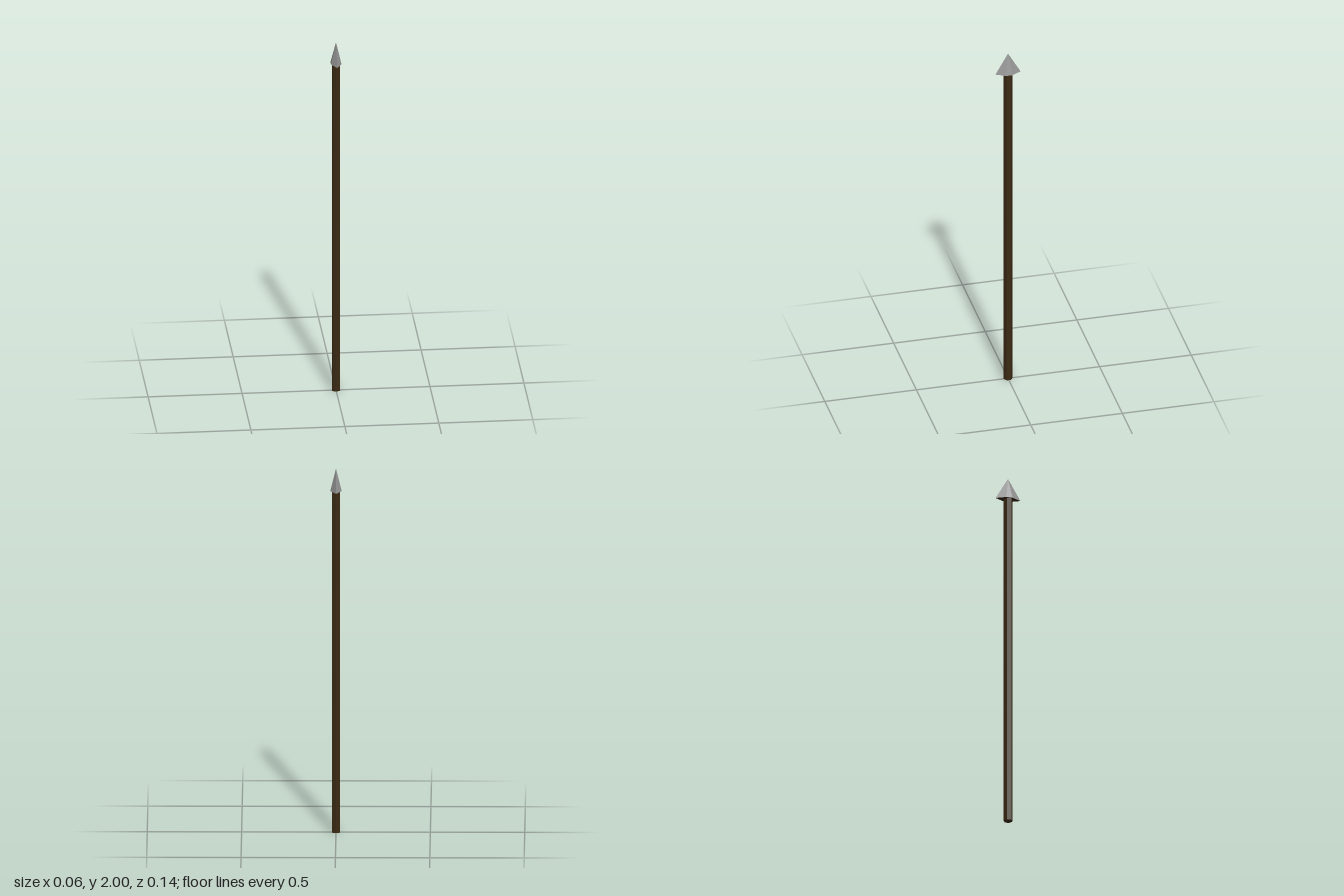
import * as THREE from 'three';

const TIP_Y = 2, HEAD_Y = 1.88;

export function createModel() {
  const group = new THREE.Group();
  const wood = new THREE.MeshStandardMaterial({ color: 0x3c2a14, flatShading: true });
  const metal = new THREE.MeshStandardMaterial({ color: 0x969696, flatShading: true });

  // Six-sided shaft with its corners on the z axis
  const shaft = new THREE.Mesh(new THREE.CylinderGeometry(0.024, 0.024, HEAD_Y, 6), wood);
  shaft.name = 'shaft';
  shaft.position.y = HEAD_Y / 2;
  group.add(shaft);

  // Flat six-sided head: a cone narrowed in x, with its side corners drawn in towards the middle
  const headGeometry = new THREE.ConeGeometry(1, TIP_Y - HEAD_Y, 6);
  const p = headGeometry.attributes.position;
  for (let i = 0; i < p.count; i++) {
    const isSideCorner = Math.abs(p.getX(i)) > 0.1;
    p.setX(i, p.getX(i) * 0.028 / Math.sin(Math.PI / 3));
    p.setZ(i, p.getZ(i) * (isSideCorner ? 0.034 : 0.069));
  }
  headGeometry.computeVertexNormals();
  // Metal sides, dark wood underside
  const head = new THREE.Mesh(headGeometry, [metal, metal, wood]);
  head.name = 'spearhead';
  head.position.y = (TIP_Y + HEAD_Y) / 2;
  group.add(head);

  return group;
}
